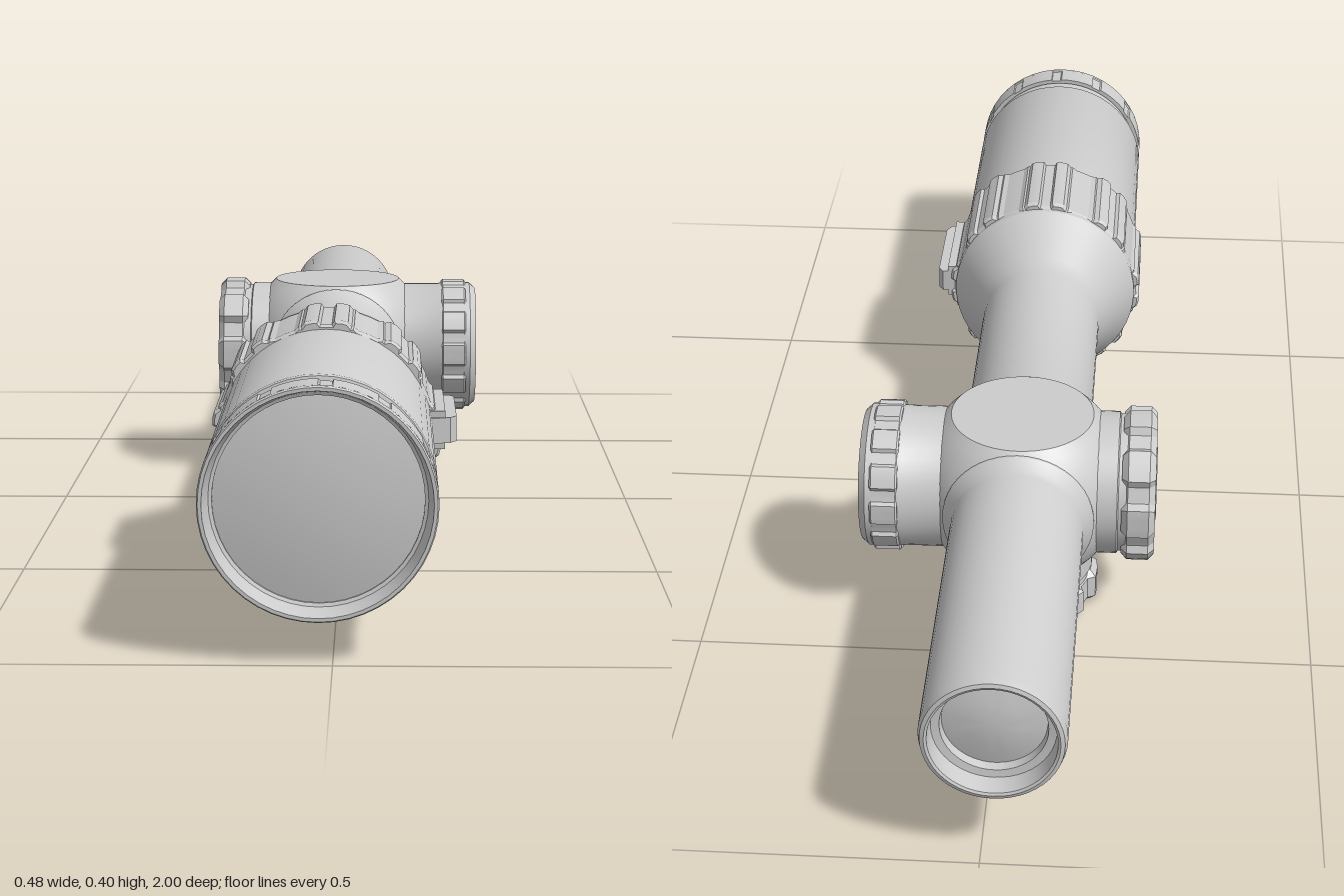
import * as THREE from 'three';
import { toCreasedNormals } from 'three/addons/utils/BufferGeometryUtils.js';

const TAU = Math.PI * 2;
const AXIS_X = -0.02, AXIS_Y = 0.225, SADDLE_Z = -0.321;

export function createModel() {
  const grey = new THREE.MeshStandardMaterial({ color: 0xcccccc });
  grey.name = 'light grey';

  const add = (parent, name, geometry, crease = 0.5) => {
    const mesh = new THREE.Mesh(toCreasedNormals(geometry, crease), grey);
    mesh.name = name;
    parent.add(mesh);
    return mesh;
  };

  // Profile of [radius, z], listed back to front, turned around the z axis
  const turned = (profile, sides = 48) =>
    new THREE.LatheGeometry(profile.map(([r, z]) => new THREE.Vector2(r, z)), sides).rotateX(Math.PI / 2);

  // Closed outline from [angle, radius] pairs
  const outline = (polar) =>
    new THREE.Shape(polar.map(([a, r]) => new THREE.Vector2(r * Math.cos(a), r * Math.sin(a))));

  // Grip with rounded ridges and scooped valleys, from z0 to z1
  const grip = (count, radius, depth, ridge, z0, z1, bevel) => {
    const polar = [];
    const r = radius - bevel;
    for (let i = 0; i < count; i++) {
      const start = ((i - ridge / 2) / count) * TAU;
      for (let k = 0; k < 3; k++) polar.push([start + (k / 3) * ridge * TAU / count, r]);
      for (let k = 0; k < 7; k++) {
        const t = k / 7;
        const dip = Math.min(1, 2 * Math.sin(Math.PI * t));
        polar.push([start + (ridge + t * (1 - ridge)) * TAU / count, r - depth * dip]);
      }
    }
    const geometry = new THREE.ExtrudeGeometry(outline(polar), {
      depth: z1 - z0 - 2 * bevel, bevelEnabled: true, bevelSize: bevel, bevelThickness: bevel, bevelSegments: 1,
    });
    return geometry.translate(0, 0, z0 + bevel);
  };

  const model = new THREE.Group();
  model.name = 'rifleScope';
  const scope = new THREE.Group();
  scope.name = 'opticalAssembly';
  scope.position.set(AXIS_X, AXIS_Y, 0);
  model.add(scope);

  // Main tube with fillets at the saddle, cone and eyepiece housing
  add(scope, 'mainTube', turned([
    [0.076, -0.95], [0.078, -0.965], [0.09, -0.967], [0.093, -0.998], [0.097, -1], [0.103, -0.998], [0.1065, -0.985],
    [0.1065, SADDLE_Z - 0.155], [0.111, SADDLE_Z - 0.142], [0.122, SADDLE_Z - 0.125],
    [0.122, SADDLE_Z + 0.125], [0.111, SADDLE_Z + 0.142], [0.1065, SADDLE_Z + 0.155],
    [0.1065, 0.205], [0.11, 0.222], [0.118, 0.24], [0.168, 0.328], [0.168, 0.345],
    [0.165, 0.35], [0.165, 0.908], [0.163, 0.912], [0.155, 0.914], [0.155, 0.95],
  ]));

  // Domed lenses at both ends
  add(scope, 'objectiveLens', turned([[0, -0.962], [0.04, -0.959], [0.079, -0.95]], 32));
  add(scope, 'eyepieceLens', turned([[0.148, 0.962], [0.11, 0.968], [0.06, 0.973], [0, 0.975]], 32));

  // Focus ring with shallow pads around the eyepiece
  const focusPolar = [];
  for (let i = 0; i < 12; i++) {
    for (let k = 0; k <= 4; k++) focusPolar.push([((i + k * 0.19) / 12) * TAU, 0.165]);
    for (let k = 0; k <= 1; k++) focusPolar.push([((i + 0.77 + k * 0.2) / 12) * TAU, 0.1625]);
  }
  const focusShape = outline(focusPolar);
  focusShape.holes.push(new THREE.Path().absarc(0, 0, 0.157, 0, TAU, true));
  add(scope, 'focusRing', new THREE.ExtrudeGeometry(focusShape, {
    depth: 0.05, bevelEnabled: false, curveSegments: 48,
  }).translate(0, 0, 0.943));
  add(scope, 'eyepieceRim', turned([
    [0.162, 0.988], [0.165, 0.99], [0.165, 0.997], [0.163, 1], [0.158, 1], [0.151, 0.967], [0.146, 0.965], [0.146, 0.96],
  ]));

  // Magnification ring: eight pads, each a pair of ridges with stepped sides
  const padProfile = [
    [-0.3, 0.169], [-0.25, 0.173], [-0.23, 0.172], [-0.19, 0.178], [-0.13, 0.179], [-0.07, 0.178], [-0.05, 0.172],
    [0.05, 0.172], [0.07, 0.178], [0.13, 0.179], [0.19, 0.178], [0.23, 0.172], [0.25, 0.173], [0.3, 0.169], [0.39, 0.169],
  ];
  const ringPolar = [];
  for (let i = 0; i < 8; i++) {
    for (const [a, r] of padProfile) ringPolar.push([(i / 8) * TAU + a, r]);
  }
  add(scope, 'magnificationRing', new THREE.ExtrudeGeometry(outline(ringPolar), {
    depth: 0.175, bevelEnabled: true, bevelSize: 0.004, bevelOffset: -0.004, bevelThickness: 0.007, bevelSegments: 1,
  }).translate(0, 0, 0.343), 0.3);

  // Throw lever on the left of the ring
  const fin = (name, points, height) => {
    const shape = new THREE.Shape(points.map(([x, z]) => new THREE.Vector2(x, z)));
    const geometry = new THREE.ExtrudeGeometry(shape, { depth: height, bevelEnabled: false });
    add(scope, name, geometry.rotateX(Math.PI / 2).translate(0, height / 2 + 0.008, 0));
  };
  fin('throwLever', [[0.15, 0.343], [0.194, 0.343], [0.202, 0.355], [0.202, 0.515], [0.192, 0.53], [0.15, 0.54]], 0.04);
  fin('throwLeverBase', [[0.15, 0.343], [0.184, 0.343], [0.184, 0.53], [0.15, 0.53]], 0.06);

  // Turret saddle: a ball with a flat top and bottom
  const ball = [[0, -0.127]];
  const tilt = Math.asin(0.127 / 0.172);
  for (let i = 0; i <= 16; i++) {
    const a = -tilt + (i / 16) * 2 * tilt;
    ball.push([0.172 * Math.cos(a), 0.172 * Math.sin(a)]);
  }
  ball.push([0, 0.127]);
  const saddle = turned(ball, 56).rotateX(-Math.PI / 2);
  add(scope, 'turretSaddle', saddle).position.z = SADDLE_Z;

  // Turrets are built along z, then turned outward
  const turret = (name, rx, ry) => {
    const group = new THREE.Group();
    group.name = name;
    group.position.z = SADDLE_Z;
    group.rotation.set(rx, ry, 0);
    scope.add(group);
    return group;
  };
  const disc = (r, z0, z1) => turned([[r, z0], [r, z1 - 0.001], [r - 0.001, z1], [0, z1]], 32);

  // Scalloped knobs on the right side and underneath
  const scalloped = (name, rx, ry, top) => {
    const group = turret(name, rx, ry);
    add(group, 'turretBase', turned([[0.117, 0.1], [0.117, 0.158], [0.113, 0.16], [0.113, 0.175]]));
    add(group, 'turretKnob', grip(8, 0.126, 0.011, 0.42, 0.165, top - 0.0015, 0.01), 0.4);
    add(group, 'turretCap', disc(0.06, 0.2, top));
  };
  scalloped('rightTurret', 0, -Math.PI / 2, 0.221);
  scalloped('lowerTurret', Math.PI / 2, 0, 0.225);

  // Ringed knob on the left side
  const left = turret('leftTurret', 0, Math.PI / 2);
  add(left, 'turretBase', turned([[0.116, 0.1], [0.116, 0.19], [0.117, 0.192], [0.117, 0.21]]));
  add(left, 'turretKnob', grip(12, 0.124, 0.006, 0.5, 0.196, 0.241, 0.003));
  add(left, 'turretRim', turned([
    [0.118, 0.235], [0.118, 0.249], [0.108, 0.26], [0.09, 0.26], [0.086, 0.254], [0.064, 0.254], [0, 0.254],
  ]));
  add(left, 'turretCap', disc(0.062, 0.245, 0.258));

  return model;
}
